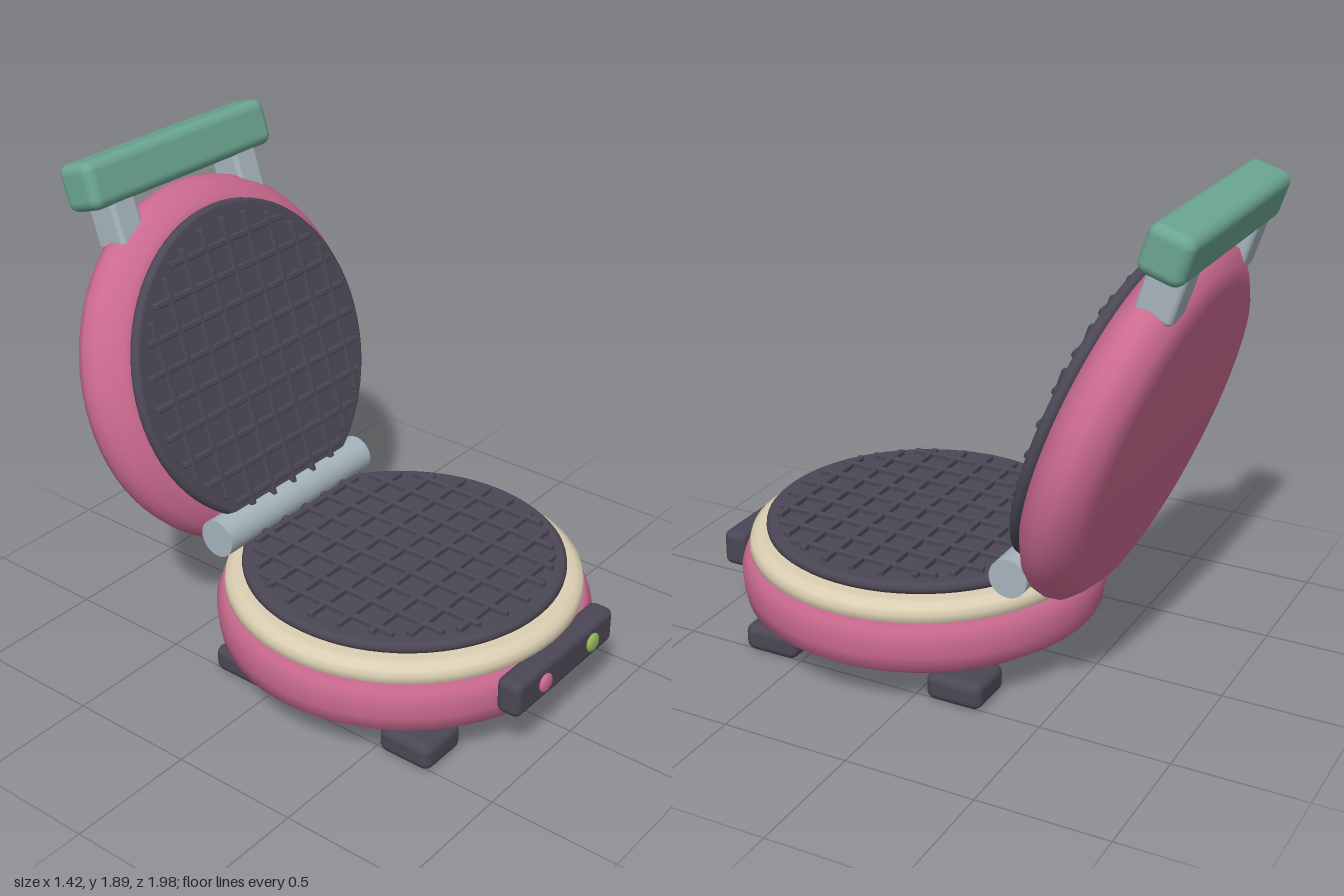
import * as THREE from 'three';
import { RoundedBoxGeometry } from 'three/addons/geometries/RoundedBoxGeometry.js';

const material = (name, color) => {
  const m = new THREE.MeshStandardMaterial({ color });
  m.name = name;
  return m;
};

export function createModel() {
  const pink = material('pink enamel', 0xcb6a90);
  const cream = material('cream trim', 0xdbcfb3);
  const dark = material('dark iron', 0x4b4755);
  const silver = material('brushed metal', 0xa6b4bd);
  const teal = material('teal grip', 0x6ba592);
  const green = material('green lamp', 0x93b557);

  const model = new THREE.Group();
  model.name = 'waffleMaker';

  const add = (parent, name, geometry, mat, x = 0, y = 0, z = 0) => {
    const mesh = new THREE.Mesh(geometry, mat);
    mesh.name = name;
    mesh.position.set(x, y, z);
    parent.add(mesh);
    return mesh;
  };
  const lathe = (points) =>
    new THREE.LatheGeometry(points.map(([r, y]) => new THREE.Vector2(r, y)), 72);
  const box = (w, h, d, r) => new RoundedBoxGeometry(w, h, d, 3, r);

  // Round cooking plate with a raised square grid, sitting on local y = 0
  function cookingPlate(name) {
    const group = new THREE.Group();
    group.name = name;
    add(group, 'plateDisc', lathe([
      [0, 0], [0.592, 0], [0.598, 0.001], [0.608, 0.01], [0.61, 0.02],
      [0.608, 0.034], [0.598, 0.043], [0.592, 0.044], [0, 0.044],
    ]), dark);
    for (let k = -4; k <= 4; k++) {
      const offset = k * 0.117;
      const length = 2 * Math.sqrt(0.56 ** 2 - offset ** 2);
      add(group, 'ridgeAcross', box(length, 0.03, 0.024, 0.006), dark, 0, 0.05, offset);
      add(group, 'ridgeAlong', box(0.024, 0.03, length, 0.006), dark, offset, 0.05, 0);
    }
    return group;
  }

  // Base
  const base = new THREE.Group();
  base.name = 'base';
  base.position.z = 0.235;
  model.add(base);
  add(base, 'baseShell', lathe([
    [0, 0.1], [0.57, 0.1], [0.645, 0.14], [0.695, 0.175], [0.705, 0.23],
    [0.71, 0.29], [0.695, 0.335], [0.675, 0.355], [0, 0.357],
  ]), pink);
  add(base, 'trimRing', lathe([
    [0.66, 0.345], [0.675, 0.36], [0.677, 0.385], [0.67, 0.41],
    [0.645, 0.424], [0.62, 0.427], [0, 0.427],
  ]), cream);
  add(base, 'platePedestal', new THREE.CylinderGeometry(0.37, 0.37, 0.02, 48), dark, 0, 0.43, 0);
  const lowerPlate = cookingPlate('lowerPlate');
  lowerPlate.position.y = 0.433;
  base.add(lowerPlate);

  // Feet
  for (const x of [-0.42, 0.42]) {
    for (const z of [-0.393, 0.393]) {
      add(base, 'foot', box(0.21, 0.108, 0.225, 0.035), dark, x, 0.054, z);
    }
  }

  // Control panel with two lamps
  add(model, 'controlPanel', box(0.63, 0.145, 0.1, 0.03), dark, 0, 0.29, 0.92);
  for (const [x, mat] of [[-0.155, pink], [0.155, green]]) {
    const lamp = add(model, 'lamp', new THREE.SphereGeometry(0.037, 24, 16), mat, x, 0.298, 0.979);
    lamp.scale.z = 0.4;
  }

  // Hinge barrel
  const hinge = add(model, 'hinge', new THREE.CylinderGeometry(0.075, 0.075, 0.84, 32), silver, 0, 0.513, -0.33);
  hinge.rotation.z = Math.PI / 2;

  // Open lid: local y is its inner face direction, local -z runs up to the handle
  const lid = new THREE.Group();
  lid.name = 'lid';
  lid.position.set(0, 0.985, -0.75);
  lid.rotation.x = THREE.MathUtils.degToRad(72);
  model.add(lid);
  add(lid, 'lidShell', lathe([
    [0, 0], [0.59, 0], [0.65, 0.035], [0.692, 0.07], [0.705, 0.11],
    [0.7, 0.155], [0.675, 0.195], [0.62, 0.235], [0.58, 0.245], [0, 0.247],
  ]), pink);
  const upperPlate = cookingPlate('upperPlate');
  upperPlate.position.set(0, 0.241, 0.008);
  lid.add(upperPlate);

  // Handle with two brackets
  add(lid, 'handleGrip', box(0.96, 0.17, 0.18, 0.04), teal, 0, 0.116, -0.809);
  for (const x of [-0.33, 0.33]) {
    add(lid, 'handleBracket', box(0.125, 0.14, 0.2, 0.02), silver, x, 0.108, -0.655);
  }

  return model;
}
